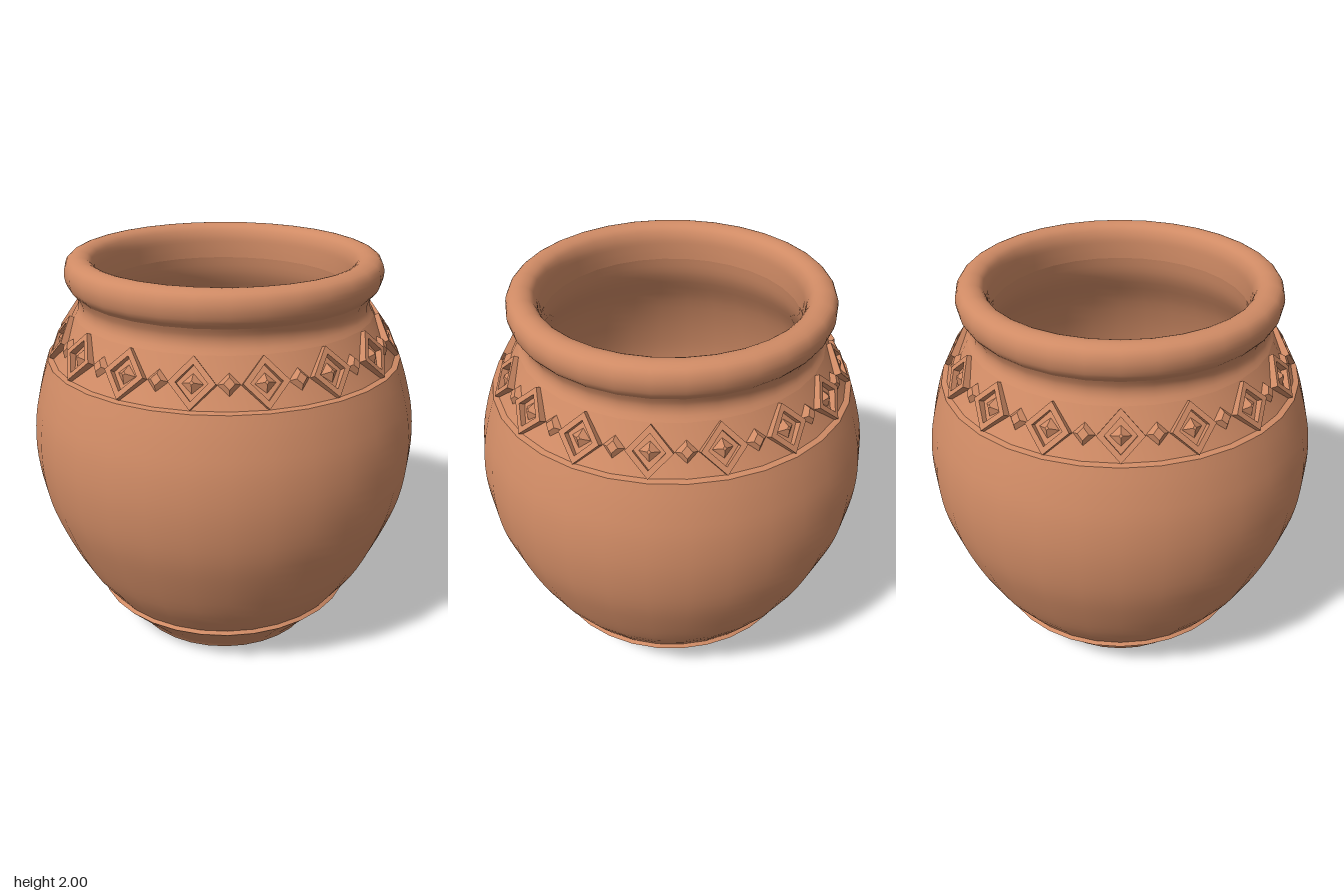
import * as THREE from 'three';

const SEGMENTS = 32;

// Turned surface: points run upwards for outer skin, downwards for inner skin
function turned(name, points, material, smooth = 0) {
  let profile = points.map(([r, y]) => new THREE.Vector2(r, y));
  if (smooth) profile = new THREE.SplineCurve(profile).getPoints(smooth);
  const mesh = new THREE.Mesh(new THREE.LatheGeometry(profile, SEGMENTS), material);
  mesh.name = name;
  return mesh;
}

// Four-sided relief stud lying in the xy plane, faceted, rising along +z
function stud(halfWidth, halfHeight, depth, topScale) {
  const g = new THREE.CylinderGeometry(topScale, 1, depth, 4, 1);
  g.rotateX(Math.PI / 2);
  g.scale(halfWidth, halfHeight, 1);
  const flat = g.toNonIndexed();
  flat.computeVertexNormals();
  return flat;
}

// Diamond outline with an open centre
function diamondFrame(w, h, inner, depth) {
  const corners = (k) => [[w, 0], [0, h], [-w, 0], [0, -h]]
    .map(([x, y]) => new THREE.Vector2(x * k, y * k));
  const shape = new THREE.Shape(corners(1));
  shape.holes.push(new THREE.Path(corners(inner).reverse()));
  return new THREE.ExtrudeGeometry(shape, { depth, bevelEnabled: false });
}

export function createModel() {
  const clay = new THREE.MeshStandardMaterial({ color: 0xd08b65 });
  clay.name = 'terracotta';
  const pot = new THREE.Group();
  pot.name = 'clayPot';

  // Outer skin, split at the sharp edges
  pot.add(
    turned('underside', [[0, 0.01], [0.47, 0.01], [0.5, 0]], clay),
    turned('foot', [[0.5, 0], [0.515, 0.03], [0.6, 0.12], [0.685, 0.21]], clay),
    turned('footLedge', [[0.685, 0.21], [0.67, 0.225]], clay),
    turned('belly', [[0.67, 0.225], [0.79, 0.4], [0.89, 0.62], [0.955, 0.82], [0.98, 1.03],
      [0.968, 1.22], [0.93, 1.38], [0.89, 1.5]], clay, 24),
    turned('bandLedge', [[0.89, 1.5], [0.862, 1.505]], clay),
    turned('band', [[0.862, 1.505], [0.805, 1.6], [0.745, 1.715]], clay),
    turned('neck', [[0.745, 1.715], [0.725, 1.75], [0.722, 1.79], [0.738, 1.83]], clay, 8),
    // Rolled rim, turning over into the mouth
    turned('rim', [[0.738, 1.83], [0.77, 1.87], [0.78, 1.93], [0.76, 1.98], [0.71, 2],
      [0.66, 1.985], [0.635, 1.94], [0.63, 1.88], [0.63, 1.82]], clay, 28),
    // Hollow interior down to the floor
    turned('interior', [[0.63, 1.82], [0.66, 1.7], [0.77, 1.5], [0.85, 1.25], [0.88, 1.0],
      [0.83, 0.7], [0.7, 0.4], [0.52, 0.18], [0.3, 0.11], [0, 0.1]], clay, 36),
  );

  // Ring of alternating large and small diamonds on the sloping band
  const ornament = new THREE.Group();
  ornament.name = 'diamondOrnament';
  const frame = diamondFrame(0.105, 0.118, 0.68, 0.035);
  const centre = stud(0.06, 0.066, 0.04, 0.15);
  const small = stud(0.062, 0.07, 0.04, 0.4);
  const tilt = Math.atan2(0.862 - 0.745, 1.715 - 1.505);
  const count = 32;
  for (let i = 0; i < count; i++) {
    const pivot = new THREE.Group();
    pivot.name = 'diamond';
    pivot.rotation.y = (i / count) * Math.PI * 2;
    const place = (geometry, name, lift) => {
      const mesh = new THREE.Mesh(geometry, clay);
      mesh.name = name;
      mesh.rotation.x = -tilt;
      mesh.position.set(0, 1.605 + lift * Math.sin(tilt), 0.8 + lift * Math.cos(tilt));
      pivot.add(mesh);
    };
    if (i % 2 === 0) {
      place(frame, 'diamondFrame', -0.007);
      place(centre, 'diamondCentre', 0.008);
    } else {
      place(small, 'smallDiamond', 0.005);
    }
    ornament.add(pivot);
  }
  pot.add(ornament);
  return pot;
}
